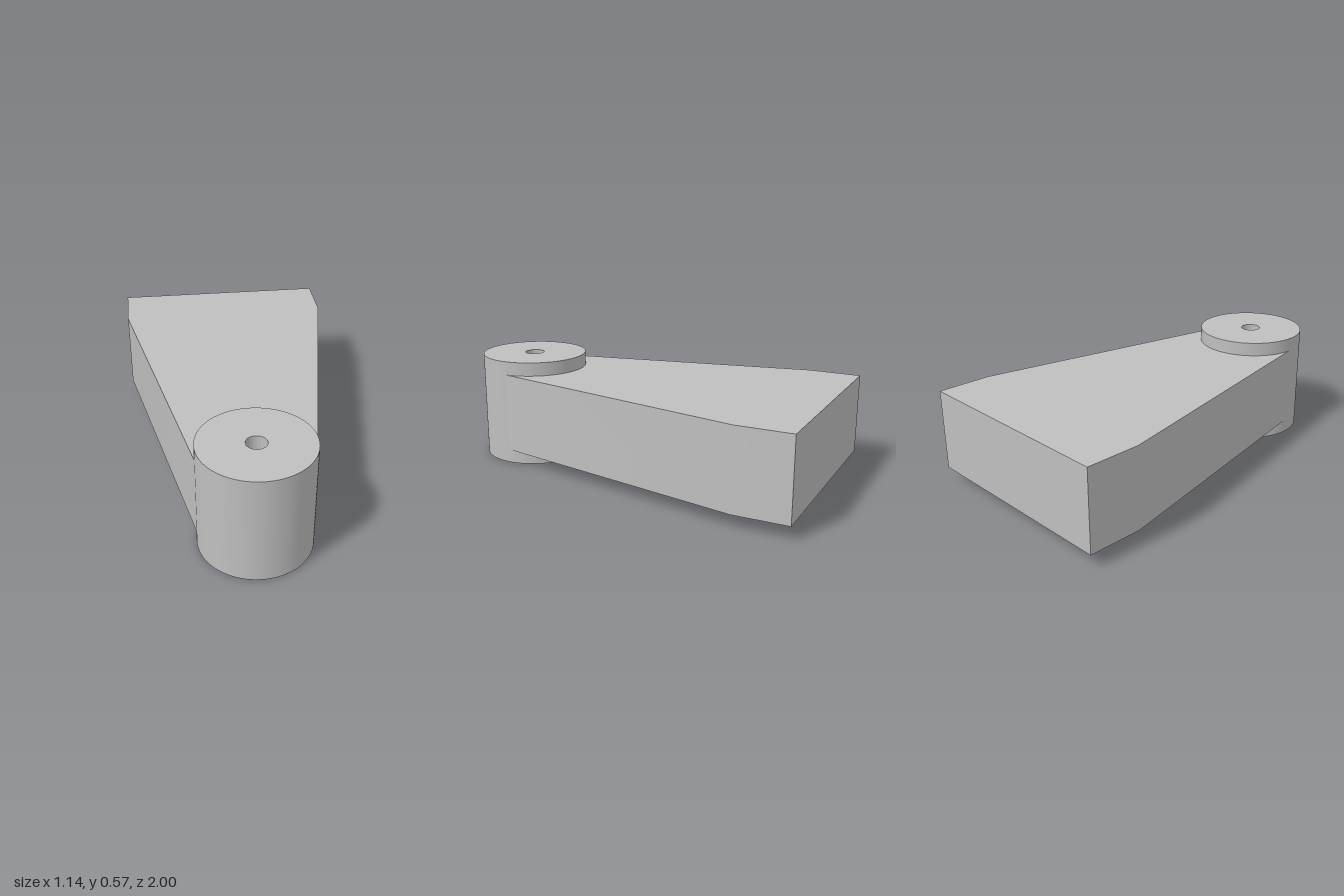
import * as THREE from 'three';
import { toCreasedNormals } from 'three/addons/utils/BufferGeometryUtils.js';

const R = 0.286, HOLE = 0.052, PIVOT_Z = 0.714, HALF_WIDTH = 0.571;

// Extrude a plan outline (shape y = -z) upward from a given height.
function extrudeUp(shape, bottom, height) {
  const geometry = new THREE.ExtrudeGeometry(shape, { depth: height, bevelEnabled: false, curveSegments: 48 });
  geometry.rotateX(-Math.PI / 2).translate(0, bottom, 0);
  return toCreasedNormals(geometry, Math.PI / 7);
}

export function createModel() {
  const group = new THREE.Group();
  group.name = 'pivotArm';
  const grey = new THREE.MeshStandardMaterial({ color: 0xbfbfbf });
  grey.name = 'light grey';

  const add = (name, geometry) => {
    const mesh = new THREE.Mesh(geometry, grey);
    mesh.name = name;
    group.add(mesh);
  };

  // Tapered arm, its narrow end hollowed to fit around the boss
  const arm = new THREE.Shape();
  arm.moveTo(R, -PIVOT_Z);
  arm.lineTo(HALF_WIDTH, PIVOT_Z);
  arm.lineTo(HALF_WIDTH, 1);
  arm.lineTo(-HALF_WIDTH, 1);
  arm.lineTo(-HALF_WIDTH, PIVOT_Z);
  arm.lineTo(-R, -PIVOT_Z);
  arm.absarc(0, -PIVOT_Z, R - 0.006, Math.PI, 0, true);
  add('arm', extrudeUp(arm, 0.073, 0.427));

  // Round boss with a through hole
  const boss = new THREE.Shape();
  boss.absarc(0, -PIVOT_Z, R, 0, Math.PI * 2, false);
  const hole = new THREE.Path();
  hole.absarc(0, -PIVOT_Z, HOLE, 0, Math.PI * 2, true);
  boss.holes.push(hole);
  add('boss', extrudeUp(boss, 0, 0.573));

  return group;
}
